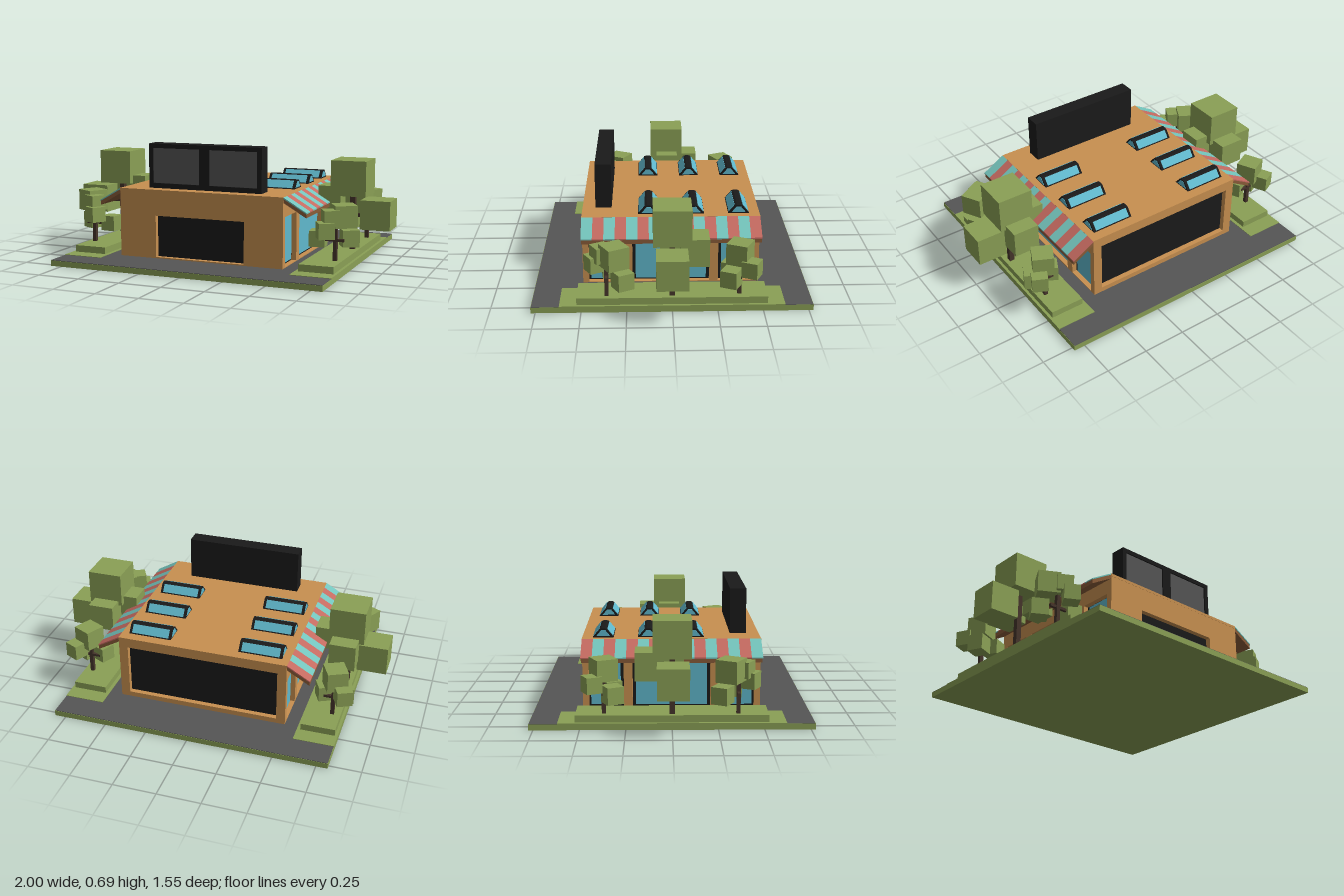
import * as THREE from 'three';

const mat = (color, extra = {}) => new THREE.MeshStandardMaterial({ color, flatShading: true, ...extra });
const M = {
  green: mat(0x8aa055), road: mat(0x555555), wall: mat(0xc89050), black: mat(0x1a1a1a),
  glass: mat(0x60b8cc), teal: mat(0x74c4bc), red: mat(0xc46a60), trunk: mat(0x46352b), strut: mat(0x8a5c38),
};

// Box given by its min and max corners
function box(parent, name, m, [x0, y0, z0], [x1, y1, z1]) {
  const mesh = new THREE.Mesh(new THREE.BoxGeometry(x1 - x0, y1 - y0, z1 - z0), m);
  mesh.position.set((x0 + x1) / 2, (y0 + y1) / 2, (z0 + z1) / 2);
  mesh.name = name;
  parent.add(mesh);
  return mesh;
}

// Cube of foliage centred at a point and turned about y
function leaf(parent, x, y, z, s, turn = 0) {
  const half = s / 2;
  const mesh = box(parent, 'foliage', M.green, [x - half, y - half, z - half], [x + half, y + half, z + half]);
  mesh.rotation.y = turn;
}

// Upright wall slab in the xy plane with rectangular openings [x0, y0, x1, y1]
function wallWithOpenings(name, width, openings, depth) {
  const s = new THREE.Shape();
  const w = width / 2, y0 = 0.035, y1 = 0.435;
  s.moveTo(-w, y0).lineTo(w, y0).lineTo(w, y1).lineTo(-w, y1).closePath();
  for (const [a, b, c, d] of openings) {
    const h = new THREE.Path();
    h.moveTo(a, b).lineTo(a, d).lineTo(c, d).lineTo(c, b).closePath();
    s.holes.push(h);
  }
  const mesh = new THREE.Mesh(new THREE.ExtrudeGeometry(s, { depth, bevelEnabled: false }), M.wall);
  mesh.name = name;
  return mesh;
}

// Prism with a profile in the xy plane, running along z
function prism(parent, name, m, points, z0, z1) {
  const s = new THREE.Shape(points.map(([x, y]) => new THREE.Vector2(x, y)));
  const mesh = new THREE.Mesh(new THREE.ExtrudeGeometry(s, { depth: z1 - z0, bevelEnabled: false }), m);
  mesh.position.z = z0;
  mesh.name = name;
  parent.add(mesh);
  return mesh;
}

function building() {
  const g = new THREE.Group();
  g.name = 'building';
  const t = 0.03;
  box(g, 'core', M.black, [-0.473, 0.035, -0.473], [0.473, 0.42, 0.473]);
  box(g, 'roof', M.wall, [-0.504, 0.42, -0.504], [0.504, 0.436, 0.504]);
  const front = wallWithOpenings('frontWall', 1.006, [[-0.275, 0.042, 0.272, 0.285]], t);
  front.position.z = 0.473;
  const back = wallWithOpenings('backWall', 1.006, [[-0.45, 0.065, 0.45, 0.375]], t);
  back.rotation.y = Math.PI;
  back.position.z = -0.473;
  g.add(front, back);
  // Side walls with three shop windows each
  const openings = [[-0.475, 0.04, -0.27, 0.322], [-0.22, 0.04, 0.22, 0.322], [0.27, 0.04, 0.475, 0.322]];
  for (const side of [-1, 1]) {
    const wall = wallWithOpenings('sideWall', 0.946, openings.map(([a, b, c, d]) =>
      [Math.max(a, -0.468), b, Math.min(c, 0.468), d]), t);
    wall.rotation.y = side * Math.PI / 2;
    wall.position.x = side * 0.473;
    g.add(wall);
    for (const [a, b, c, d] of openings) {
      const x = side * 0.475;
      box(g, 'windowGlass', M.glass, [x - 0.004, b + 0.01, a + 0.018], [x + 0.004, d - 0.006, c - 0.018]);
    }
  }
  return g;
}

function sign() {
  const g = new THREE.Group();
  g.name = 'roofSign';
  box(g, 'signBack', M.black, [-0.35, 0.435, 0.337], [0.35, 0.695, 0.42]);
  for (const [a, b] of [[-0.35, -0.325], [-0.033, 0.03], [0.322, 0.35]])
    box(g, 'signPost', M.black, [a, 0.435, 0.42], [b, 0.695, 0.43]);
  for (const [a, b] of [[0.435, 0.465], [0.67, 0.695]])
    box(g, 'signRail', M.black, [-0.35, a, 0.42], [0.35, b, 0.43]);
  for (const [a, b] of [[-0.325, -0.033], [0.03, 0.322]])
    box(g, 'signPanel', M.road, [a, 0.465, 0.415], [b, 0.67, 0.422]);
  return g;
}

// Ridge skylight, centred on its own origin and running along x
function skylight() {
  const g = new THREE.Group();
  g.name = 'skylight';
  const inner = new THREE.Group();
  inner.rotation.y = Math.PI / 2;
  g.add(inner);
  prism(inner, 'skylightFrame', M.black,
    [[-0.06, 0], [0.06, 0], [0.022, 0.046], [0.01, 0.051], [-0.01, 0.051], [-0.022, 0.046]], -0.128, 0.128);
  // Sloping panes on both faces, and a pane at each end
  for (const s of [-1, 1]) {
    const pane = [[s * 0.055, 0.006], [s * 0.057, 0.008], [s * 0.024, 0.048], [s * 0.021, 0.044]];
    prism(inner, 'pane', M.glass, s > 0 ? pane : pane.reverse(), -0.112, 0.112);
    const z = s * 0.128;
    prism(inner, 'endPane', M.glass, [[-0.04, 0.008], [0.04, 0.008], [0.012, 0.042], [-0.012, 0.042]], z - 0.002, z + 0.002);
  }
  return g;
}

// Everything alongside the right-hand (+x) wall; the other side is its mirror
function sideDressing(side) {
  const g = new THREE.Group();
  g.name = side > 0 ? 'leftSide' : 'rightSide';
  const X = (pts) => { const p = pts.map(([x, y]) => [x * side, y]); return side < 0 ? p.reverse() : p; };
  const block = (name, m, x0, x1, y0, y1, z0, z1) =>
    box(g, name, m, [Math.min(x0 * side, x1 * side), y0, z0], [Math.max(x0 * side, x1 * side), y1, z1]);

  // Lawn and planter
  block('lawn', M.green, 0.58, 0.816, 0.03, 0.0375, -0.62, 0.62);
  block('planter', M.green, 0.6, 0.8, 0.035, 0.077, -0.525, 0.525);

  // Striped awning on a sloping backing
  prism(g, 'awningBacking', M.strut, X([[0.503, 0.405], [0.635, 0.328], [0.635, 0.352], [0.503, 0.428]]), -0.5, 0.5);
  const n = 16;
  for (let i = 0; i < n; i++) {
    const z1 = 0.503 - i * 1.006 / n;
    prism(g, 'awningStripe', i % 2 ? M.red : M.teal,
      X([[0.503, 0.428], [0.637, 0.351], [0.637, 0.358], [0.503, 0.436]]), z1 - 1.006 / n, z1);
  }

  // Large tree
  block('trunk', M.trunk, 0.745, 0.775, 0.07, 0.42, -0.015, 0.015);
  block('foliage', M.green, 0.652, 0.86, 0.4, 0.605, -0.104, 0.104);
  block('foliage', M.green, 0.825, 1.0, 0.21, 0.38, -0.082, 0.09);
  block('foliage', M.green, 0.567, 0.7, 0.315, 0.45, -0.07, 0.065);
  block('foliage', M.green, 0.675, 0.83, 0.272, 0.428, -0.2, -0.045);
  block('branch', M.trunk, 0.76, 0.84, 0.27, 0.29, -0.01, 0.01);

  // Small trees, fore and aft: [x, y, z, size, turn]
  const small = [
    [0.76, 0.36, [[0.795, 0.325, 0.315, 0.125, 0.5], [0.72, 0.255, 0.425, 0.09, 0.5],
      [0.655, 0.195, 0.34, 0.09, 0.1], [0.815, 0.195, 0.27, 0.095, 0.5], [0.74, 0.32, 0.39, 0.09, 0.5]]],
    [0.75, -0.37, [[0.755, 0.325, -0.37, 0.12, -0.45], [0.815, 0.255, -0.43, 0.09, -0.45],
      [0.69, 0.2, -0.33, 0.09, -0.45], [0.8, 0.195, -0.32, 0.095, -0.45]]],
  ];
  for (const [x, z, leaves] of small) {
    block('smallTrunk', M.trunk, x - 0.011, x + 0.011, 0.07, 0.3, z - 0.011, z + 0.011);
    block('smallBranch', M.trunk, x - 0.06, x + 0.05, 0.185, 0.2, z - 0.008, z + 0.008);
    for (const [lx, ly, lz, s, turn] of leaves) leaf(g, lx * side, ly, lz, s, turn * side);
  }
  return g;
}

export function createModel() {
  const model = new THREE.Group();
  model.name = 'shop';
  box(model, 'groundSlab', M.green, [-0.816, 0, -0.775], [0.816, 0.032, 0.775]);
  box(model, 'pavement', M.road, [-0.814, 0.03, -0.773], [0.814, 0.035, 0.773]);
  model.add(building(), sign());
  for (const x of [-0.332, 0.332])
    for (const z of [-0.385, -0.13, 0.125]) {
      const s = skylight();
      s.position.set(x, 0.435, z);
      model.add(s);
    }
  for (const side of [-1, 1]) model.add(sideDressing(side));
  return model;
}
